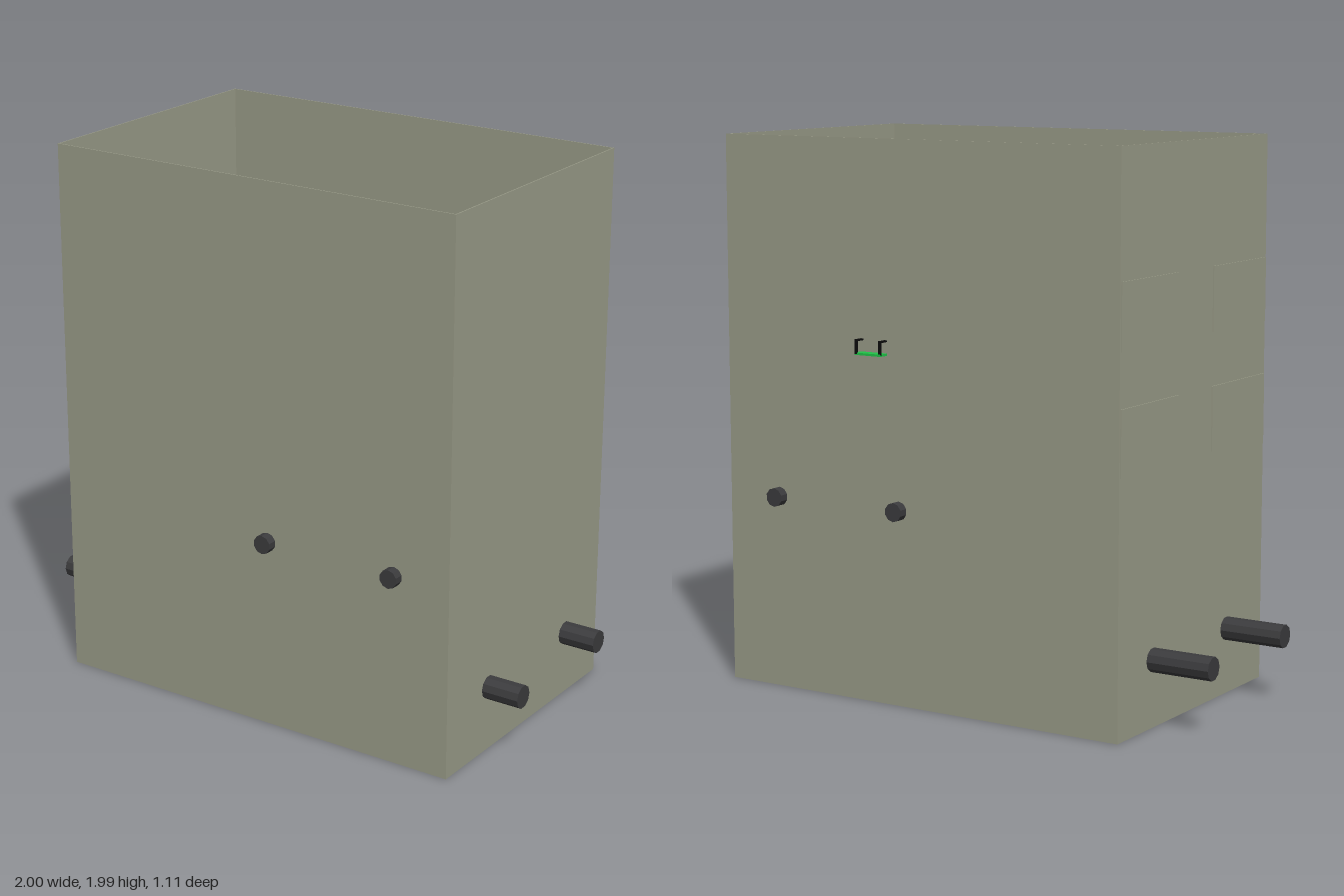
import * as THREE from 'three';

const mat = (name, color) => {
  const m = new THREE.MeshStandardMaterial({ color, side: THREE.DoubleSide, flatShading: false });
  m.name = name;
  return m;
};

export function createModel() {
  const root = new THREE.Group();
  root.name = 'powerPlant';
  const concrete = mat('concrete', 0x999b88), dark = mat('darkSteel', 0x3b3b3d);
  const black = mat('black', 0x0c0c0c), cyan = mat('cyan', 0x22c8b8);
  const yellow = mat('yellow', 0xc8aa10), tankGreen = mat('tankGreen', 0x43683f);
  const bright = mat('brightGreen', 0x20c448), pale = mat('paleGrey', 0xa3a39a);

  const add = (name, geo, m, x, y, z, parent = root) => {
    const mesh = new THREE.Mesh(geo, m);
    mesh.name = name;
    mesh.position.set(x, y, z);
    parent.add(mesh);
    return mesh;
  };
  // box given by its minimum and maximum corners
  const span = (name, m, x0, x1, y0, y1, z0, z1, parent) =>
    add(name, new THREE.BoxGeometry(x1 - x0, y1 - y0, z1 - z0), m,
      (x0 + x1) / 2, (y0 + y1) / 2, (z0 + z1) / 2, parent);
  // faceted cylinder lying along an axis
  const rod = (name, m, r, len, axis, x, y, z, sides = 10, parent = root) => {
    const g = new THREE.CylinderGeometry(r, r, len, sides).toNonIndexed();
    g.computeVertexNormals();
    if (axis === 'x') g.rotateZ(Math.PI / 2);
    if (axis === 'z') g.rotateX(Math.PI / 2);
    return add(name, g, m, x, y, z, parent);
  };

  // open-topped shell
  const X0 = -0.765, X1 = 0.86, Z = 0.52, T = 0.004, H = 1.99;
  span('shellFloor', concrete, X0, X1, 0, T, -Z, Z);
  span('shellFront', concrete, X0, X1, 0, H, Z - T, Z);
  span('shellBack', concrete, X0, X1, 0, H, -Z, -Z + T);
  span('shellRightSide', concrete, X0, X0 + T, 0, H, -Z, Z);
  span('shellLeftSide', concrete, X1 - T, X1, 0, H, -Z, Z);

  // long pipes passing through the shell
  for (const z of [-0.285, 0.25]) rod('lowerPipe', dark, 0.042, 2, 'x', 0, 0.24, z);
  for (const x of [0.12, 0.64]) rod('upperPipe', dark, 0.034, 1.11, 'z', x, 0.7, 0);

  // four water tanks with yellow edge frames
  const frame = (x0, x1, y0, y1, z0, z1) => {
    const g = new THREE.Group();
    g.name = 'waterTank';
    root.add(g);
    const t = 0.018, i = 0.004;
    span('water', cyan, x0 + i, x1 - i, y0 + i, y1 - i, z0 + i, z1 - i, g);
    for (const y of [y0, y1 - t]) {
      for (const z of [z0, z1 - t]) span('frameBar', yellow, x0, x1, y, y + t, z, z + t, g);
      for (const x of [x0, x1 - t]) span('frameBar', yellow, x, x + t, y, y + t, z0, z1, g);
    }
    for (const x of [x0, x1 - t]) for (const z of [z0, z1 - t])
      span('framePost', yellow, x, x + t, y0, y1, z, z + t, g);
  };
  for (const [x0, x1] of [[-0.74, -0.065], [0.02, 0.69]])
    for (const z0 of [-0.455, 0.08]) frame(x0, x1, 0.01, 0.46, z0, z0 + 0.345);

  // turbine drums with ports and a gauge
  for (const [x, shift] of [[0.12, 0.02], [0.64, 0]]) {
    for (const side of [-1, 1]) {
      const z = side * 0.25 + shift, g = new THREE.Group();
      g.name = 'turbine';
      g.position.set(x, 0.7, z);
      root.add(g);
      rod('drum', tankGreen, 0.157, 0.43, 'z', 0, 0, 0, 16, g);
      for (const dz of [-0.12, 0.12]) rod('port', dark, 0.04, 0.06, 'y', -0.093, 0.125, dz, 10, g);
      span('gaugeFrame', yellow, -0.135, -0.097, 0.07, 0.142, -0.02, 0.02, g);
      span('gaugeFace', black, -0.128, -0.104, 0.14, 0.146, -0.012, 0.012, g);
    }
    rod('coupling', tankGreen, 0.038, 0.14, 'z', x, 0.7, shift);
  }

  // central reactor with a domed cap
  const cx = 0.22, deck = 1.25;
  const profile = [[0, 0.01], [0.1, 0.01], [0.1, 0.85], [0.13, 0.9], [0.13, 1.14]]
    .map(([r, y]) => new THREE.Vector2(r, y));
  add('reactorColumn', new THREE.LatheGeometry(profile, 32), dark, cx, 0, 0);
  add('reactorDome', new THREE.SphereGeometry(0.13, 32, 12, 0, Math.PI * 2, 0, Math.PI / 2), dark, cx, 1.14, 0);

  // ring walkway around the reactor
  const band = (name, m, r0, r1, y0, y1) => add(name, new THREE.LatheGeometry(
    [[r0, y0], [r1, y0], [r1, y1], [r0, y1], [r0, y0]].map(([r, y]) => new THREE.Vector2(r, y)), 40), m, cx, 0, 0);
  band('ringDeck', bright, 0.14, 0.235, deck - 0.008, deck);
  band('ringOuterRail', black, 0.229, 0.238, deck + 0.037, deck + 0.046);
  band('ringInnerRail', black, 0.146, 0.155, deck + 0.037, deck + 0.046);
  band('reactorCollar', black, 0.128, 0.138, deck - 0.03, deck);
  for (let i = 0; i < 12; i++) {
    const a = (i + 0.5) * Math.PI / 6;
    for (const r of [0.15, 0.233])
      rod('ringPost', black, 0.004, 0.045, 'y', cx + r * Math.cos(a), deck + 0.022, r * Math.sin(a), 6);
  }

  // straight walkways leading to the back and the front
  for (const [z0, z1, end] of [[-0.558, -0.225, -0.555], [0.225, 0.485, 0.482]]) {
    span('walkwayDeck', bright, cx - 0.055, cx + 0.055, deck - 0.008, deck, z0, z1);
    for (const s of [-1, 1]) {
      const x = cx + s * 0.05;
      span('walkwayRail', black, x - 0.006, x + 0.006, deck + 0.04, deck + 0.046, z0, z1);
      for (const z of [end, (z0 + z1) / 2])
        span('walkwayPost', black, x - 0.006, x + 0.006, deck - 0.005, deck + 0.046, z - 0.003, z + 0.003);
    }
    for (const d of [0.25, 0.3, 0.345]) {
      const z = Math.sign(z0) * d;
      span('walkwayTread', black, cx - 0.05, cx + 0.05, deck, deck + 0.004, z - 0.004, z + 0.004);
    }
  }

  // control rooms, two storeys at the front and at the back
  const rx0 = -0.769, rx1 = -0.25, w = 0.012;
  for (const y0 of [0.9, 1.32]) {
    const y1 = y0 + 0.23;
    for (const [z0, z1] of [[-0.515, -0.118], [0.12, 0.515]]) {
      const g = new THREE.Group();
      g.name = 'controlRoom';
      root.add(g);
      span('roomFloor', black, rx0 + w, rx1 - w, y0 + 0.002, y0 + 0.012, z0 + 0.003, z1 - 0.003, g);
      span('roomBase', concrete, rx0 + w, rx1, y0 - 0.006, y0 + 0.001, z0, z1, g);
      span('roomOuterWall', concrete, rx0, rx0 + w, y0, y1, z0, z1, g);
      span('roomInnerWall', concrete, rx1 - w, rx1, y0, y1, z0, z1, g);
      const zi = z0 < 0 ? z1 - w : z0;
      span('roomSideWall', concrete, rx0, rx1, y0, y1, zi, zi + w, g);
    }
    // rail and desks
    span('roomPartition', pale, rx0 + w, rx1 - w, y0 + 0.1, y0 + 0.112, -0.185, -0.172);
    for (const x of [-0.73, -0.6, -0.43, -0.29])
      span('partitionPost', pale, x - 0.004, x + 0.004, y0 + 0.01, y0 + 0.11, -0.182, -0.175);
    span('desk', dark, -0.322, -0.265, y0 + 0.01, y0 + 0.09, 0.225, 0.335);
    span('deskScreen', black, -0.305, -0.275, y0 + 0.09, y0 + 0.096, 0.25, 0.31);
    for (const [x, z, a] of [[-0.32, -0.45, 0.3], [-0.3, 0.17, 0.5], [-0.315, 0.41, -0.5]]) {
      const stool = new THREE.Group();
      stool.name = 'stool';
      stool.position.set(x, y0 + 0.012, z);
      stool.rotation.y = a;
      root.add(stool);
      span('stoolSeat', pale, -0.02, 0.02, 0.05, 0.06, -0.02, 0.02, stool);
      span('stoolBack', pale, 0.014, 0.02, 0.06, 0.11, -0.02, 0.02, stool);
      rod('stoolStem', dark, 0.005, 0.05, 'y', 0, 0.025, 0, 6, stool);
      for (const s of [-1, 1]) {
        span('stoolFoot', pale, -0.03, 0.03, 0, 0.006, s * 0.02 - 0.005, s * 0.02 + 0.005, stool);
      }
    }
  }

  // green service pipe with a valve
  const path = new THREE.CurvePath();
  const p = [[-0.73, 1.45, -0.51], [-0.73, 1.45, -0.02], [-0.76, 1.45, -0.005]].map(a => new THREE.Vector3(...a));
  path.add(new THREE.LineCurve3(p[0], p[1]));
  path.add(new THREE.QuadraticBezierCurve3(p[1], new THREE.Vector3(-0.73, 1.45, -0.005), p[2]));
  add('servicePipe', new THREE.TubeGeometry(path, 40, 0.011, 8), bright, 0, 0, 0);
  for (const z of [-0.36, -0.15, -0.03]) rod('pipeCollar', bright, 0.016, 0.016, 'z', -0.73, 1.45, z);
  rod('valveStem', bright, 0.012, 0.06, 'x', -0.71, 1.45, -0.42, 8);
  rod('valveBody', bright, 0.033, 0.04, 'y', -0.7, 1.46, -0.42);
  const wheel = add('valveWheel', new THREE.TorusGeometry(0.026, 0.005, 6, 16), bright, -0.7, 1.49, -0.42);
  wheel.rotation.x = Math.PI / 2;

  return root;
}
